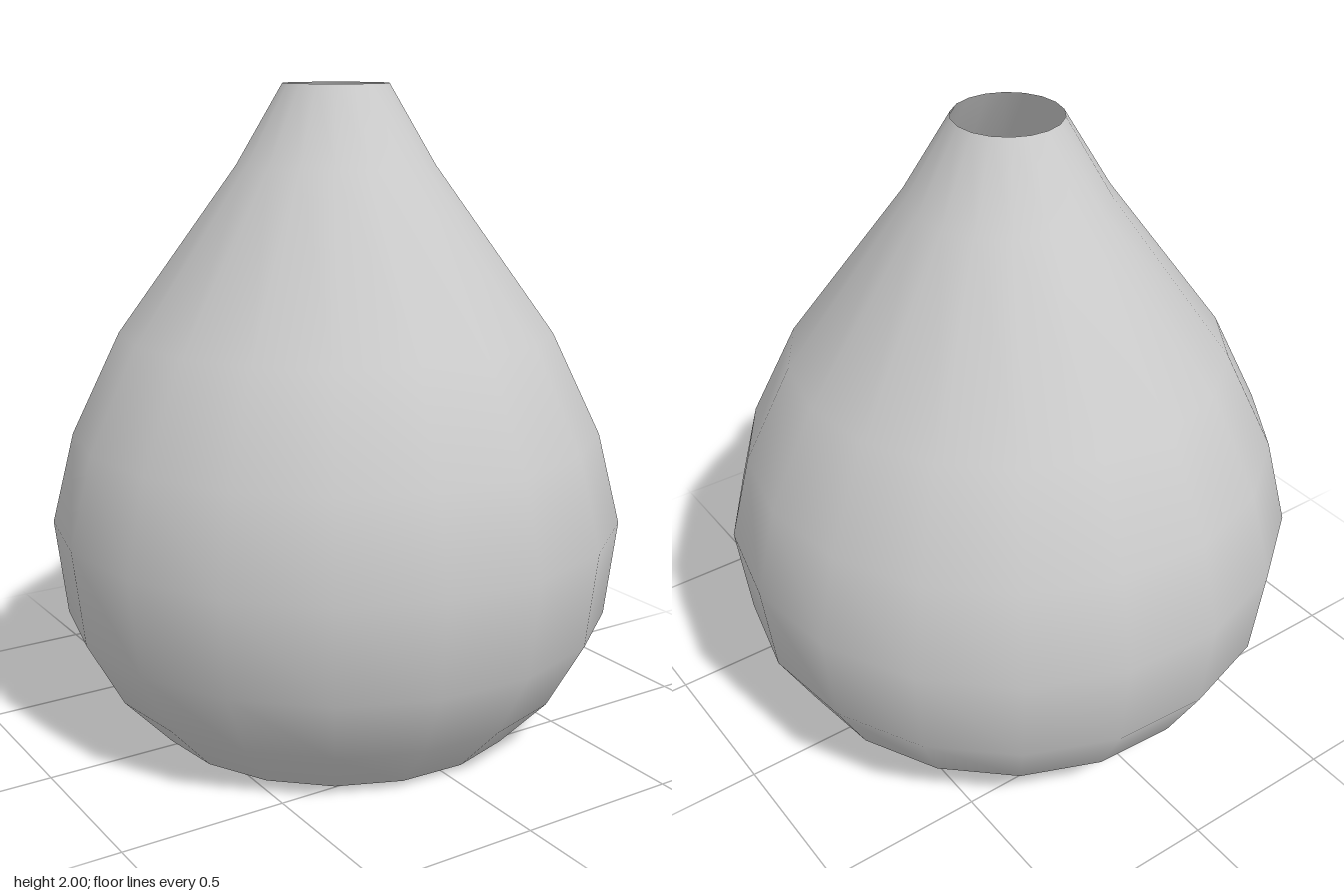
import * as THREE from 'three';

export function createModel() {
  const group = new THREE.Group();
  group.name = 'vase';

  // Thin pear-shaped shell, open at the base and at the mouth: [radius, height]
  const profile = [
    [0.59, 0], [0.74, 0.16], [0.855, 0.37], [0.89, 0.67],
    [0.82, 0.95], [0.67, 1.26], [0.305, 1.76], [0.163, 2],
  ].map(([r, y]) => new THREE.Vector2(r, y));

  // 18 sides, turned slightly so that no corner lies on an axis
  const sides = 18;
  const turn = THREE.MathUtils.degToRad(7.2);
  const shell = new THREE.Mesh(
    new THREE.LatheGeometry(profile, sides, turn),
    new THREE.MeshStandardMaterial({ color: 0xcccccc, side: THREE.DoubleSide }),
  );
  shell.name = 'vaseShell';
  group.add(shell);

  return group;
}
